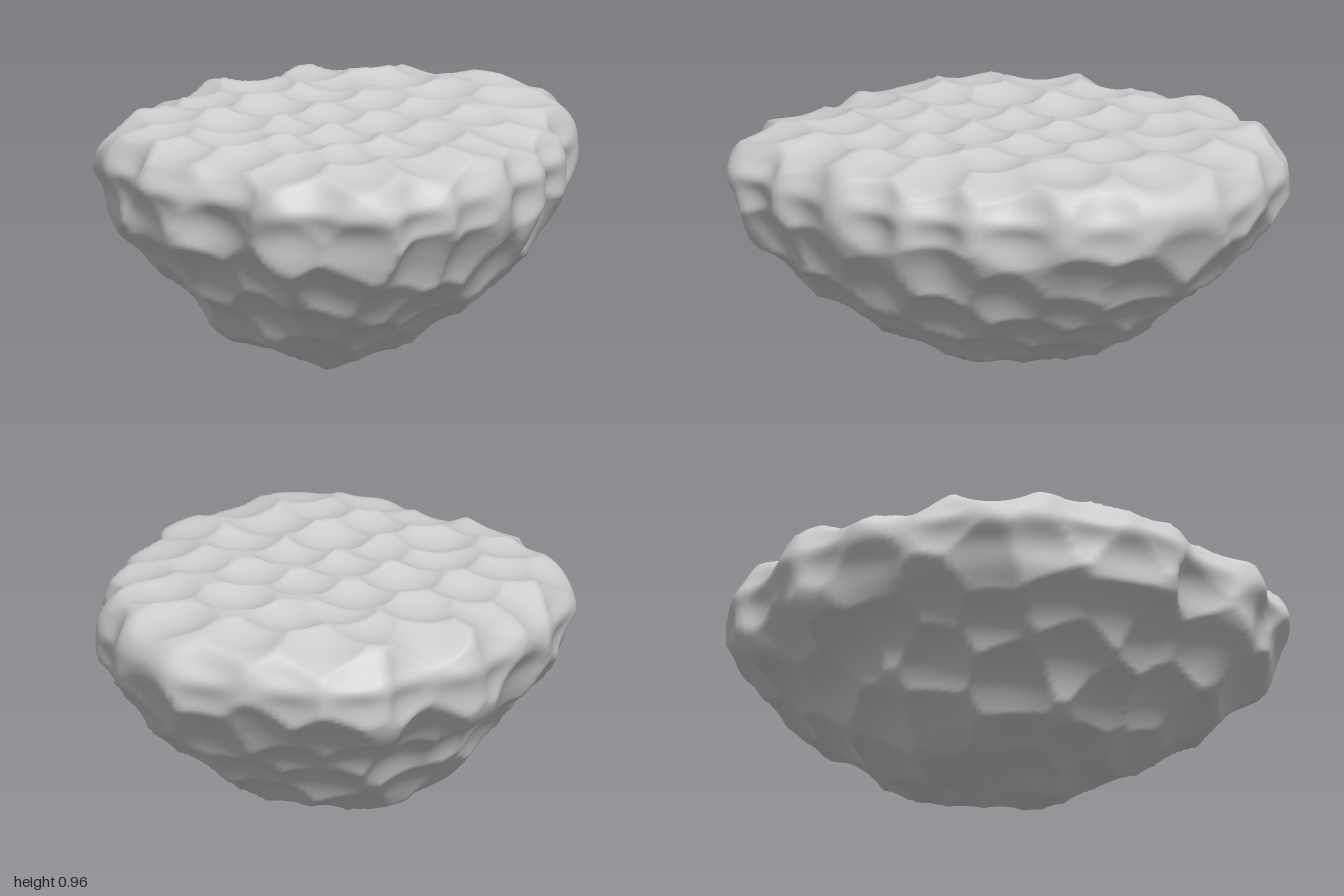
import * as THREE from 'three';
import { mergeVertices } from 'three/addons/utils/BufferGeometryUtils.js';

const AROUND = 220, ROWS = 160;
const { smoothstep } = THREE.MathUtils;

// Rim outline seen from above, as x, z
const RIM = [
  [0.03, -1], [0.12, -0.99], [0.36, -0.88], [0.46, -0.78], [0.57, -0.68], [0.65, -0.49], [0.76, -0.33],
  [0.77, -0.22], [0.84, -0.07], [0.83, 0.05], [0.865, 0.2], [0.835, 0.4], [0.835, 0.53], [0.785, 0.65],
  [0.775, 0.78], [0.65, 0.9], [0.5, 0.93], [0.35, 0.995], [0.18, 0.95], [0, 0.93], [-0.13, 0.955],
  [-0.28, 0.925], [-0.45, 0.81], [-0.62, 0.7], [-0.76, 0.53], [-0.81, 0.38], [-0.84, 0.22],
  [-0.87, 0.03], [-0.86, -0.15], [-0.855, -0.34], [-0.76, -0.46], [-0.71, -0.58], [-0.69, -0.69],
  [-0.5, -0.85], [-0.25, -0.94],
];

// Section from the middle of the top to the lowest point:
// rim scale, height, x shift, z shift
const SECTION = [
  [0, 0.93, 0, 0], [0.4, 0.93, 0, 0], [0.72, 0.93, 0, 0], [0.83, 0.92, 0, 0], [0.91, 0.895, 0, 0],
  [0.965, 0.85, 0, 0], [1, 0.785, 0, 0], [0.98, 0.68, 0, 0], [0.935, 0.57, 0, 0.02],
  [0.77, 0.4, 0.03, 0.04], [0.66, 0.3, 0.02, 0.05], [0.44, 0.135, -0.02, 0.07],
  [0.28, 0.075, 0, 0.08], [0.12, 0.035, 0.04, 0.15], [0, 0, 0.05, 0.2],
];

// Hollows placed by hand: top, bevel, rim and underside (x, z), and front (x, y)
const TOP_HOLLOWS = [
  [0.45, -0.2], [-0.02, -0.19], [-0.26, -0.2], [-0.54, -0.18], [0.2, 0.09], [0.45, 0.13], [-0.03, 0.08],
  [-0.3, 0.07], [-0.57, 0.12], [0.68, 0.12], [0.18, 0.33], [0.47, 0.36], [-0.05, 0.31], [-0.28, 0.35],
  [-0.55, 0.38], [0.4, 0.57], [0.13, 0.55], [-0.16, 0.54], [-0.42, 0.59], [0.38, -0.53], [0.1, -0.47],
  [-0.17, -0.55], [-0.5, -0.48], [-0.15, -0.78], [0.17, -0.77], [0.2, -0.2], [-0.74, -0.05],
];
const BEVEL_HOLLOWS = [[-0.2, 0.77], [0.05, 0.75], [0.28, 0.8], [0.57, 0.72], [-0.66, 0.5], [-0.45, -0.72]];
const RIM_HOLLOWS = [
  [0.46, -0.78], [0.65, -0.49], [0.77, -0.22], [0.83, 0.04], [0.83, 0.38], [0.77, 0.66], [0.5, 0.92],
  [0.12, 0.92], [-0.2, 0.93], [-0.45, 0.8], [-0.81, 0.38], [-0.85, -0.15], [-0.71, -0.55], [-0.4, -0.9],
];
const UNDER_HOLLOWS = [[-0.1, 0.2], [0.16, 0.08], [0.14, 0.33]];
const FRONT_HOLLOWS = [
  [0.05, 0.66], [0.42, 0.68], [-0.32, 0.66], [-0.6, 0.66], [0.17, 0.5], [-0.07, 0.46], [-0.27, 0.49],
  [-0.48, 0.5], [0.5, 0.46], [-0.3, 0.33], [0.13, 0.3], [-0.1, 0.24], [0.32, 0.28],
];

function seeded(seed) {
  return () => (seed = (seed * 16807) % 2147483647) / 2147483647;
}

// Smooth bowl-shaped body, nearly flat on top and a little higher at the back
function bodyGeometry() {
  const curve = (points) => new THREE.CatmullRomCurve3(points);
  const rim = new THREE.CatmullRomCurve3(RIM.map(([x, z]) => new THREE.Vector3(x, 0, z)), true)
    .getSpacedPoints(AROUND);
  // Rounder outline for the lower part
  const reach = 9;
  const soft = rim.map((_, c) => {
    const sum = new THREE.Vector3();
    for (let k = -reach; k <= reach; k++) sum.add(rim[(c + k + AROUND) % AROUND]);
    return sum.divideScalar(2 * reach + 1);
  });
  const section = curve(SECTION.map(([s, y]) => new THREE.Vector3(s, y, 0)));
  const shift = curve(SECTION.map(([, , x, z]) => new THREE.Vector3(x, 0, z)));
  shift.curveType = 'catmullrom';
  const pos = [], index = [], v = new THREE.Vector3();
  for (let r = 0; r <= ROWS; r++) {
    const t = section.getUtoTmapping(r / ROWS);
    const p = section.getPoint(t), d = shift.getPoint(t);
    for (let c = 0; c < AROUND; c++) {
      v.lerpVectors(soft[c], rim[c], smoothstep(p.x, 0.55, 1)).multiplyScalar(p.x).add(d);
      pos.push(v.x, p.y - 0.014 * v.z * smoothstep(p.y, 0.5, 0.8), v.z);
    }
  }
  for (let r = 0; r < ROWS; r++) {
    for (let c = 0; c < AROUND; c++) {
      const n = (c + 1) % AROUND, a = r * AROUND, b = a + AROUND;
      index.push(a + c, b + n, b + c, a + c, a + n, b + n);
    }
  }
  const g = new THREE.BufferGeometry();
  g.setAttribute('position', new THREE.Float32BufferAttribute(pos, 3));
  g.setIndex(index);
  const welded = mergeVertices(g, 1e-5);
  welded.computeVertexNormals();
  return welded;
}

// Hollow centres: the placed ones, then evenly scattered over the rest
function hollowCentres(points, random) {
  const nearest = (cost) => points.reduce((best, p) => (cost(p) < cost(best) ? p : best));
  const atHeight = (list, y) => list.map(([x, z]) => new THREE.Vector3(x, y, z));
  const centres = [
    ...atHeight(TOP_HOLLOWS, 0.93),
    ...atHeight(BEVEL_HOLLOWS, 0.91),
    ...atHeight(RIM_HOLLOWS, 0.785),
    ...UNDER_HOLLOWS.map(([x, z]) =>
      nearest((p) => (p.y > 0.5 ? 9 : 0) + Math.hypot(p.x - x, p.z - z))),
    ...FRONT_HOLLOWS.map(([x, y]) =>
      nearest((p) => (p.z < 0.1 ? 9 : 0) + Math.hypot(p.x - x, p.y - y))),
  ];
  for (let i = 0; i < 12000; i++) {
    const p = points[Math.floor(random() * points.length)];
    if (centres.every((c) => c.distanceTo(p) > 0.2)) centres.push(p);
  }
  return centres;
}

// Scoop a shallow hollow round each centre, leaving ridges between them
function scoop(g) {
  const pos = g.attributes.position, nor = g.attributes.normal;
  const random = seeded(71);
  const points = [];
  for (let i = 0; i < pos.count; i++) points.push(new THREE.Vector3().fromBufferAttribute(pos, i));
  const centres = hollowCentres(points, random);
  const rises = centres.map(() => random() * 0.009);
  const normal = new THREE.Vector3();
  points.forEach((p, i) => {
    let d2 = Infinity;
    centres.forEach((c, k) => { d2 = Math.min(d2, c.distanceToSquared(p) + rises[k]); });
    normal.fromBufferAttribute(nor, i);
    // The rim outline and the tip have their own shape, so hollows are shallower there
    const rim = 0.65 * Math.exp(-(((p.y - 0.785) / 0.05) ** 2));
    const tip = 1 - smoothstep(p.y, 0, 0.05);
    const depth = (1 - rim) * (1 - tip);
    pos.setXYZ(i, ...p.clone().addScaledVector(normal, depth * (Math.min(d2, 0.03) * 1.8 - 0.036)));
  });
}

export function createModel() {
  const group = new THREE.Group();
  group.name = 'rock';
  const g = bodyGeometry();
  scoop(g);
  g.computeVertexNormals();

  const body = new THREE.Mesh(g, new THREE.MeshStandardMaterial({ color: 0xcccccc }));
  body.name = 'rockBody';
  group.add(body);
  return group;
}
